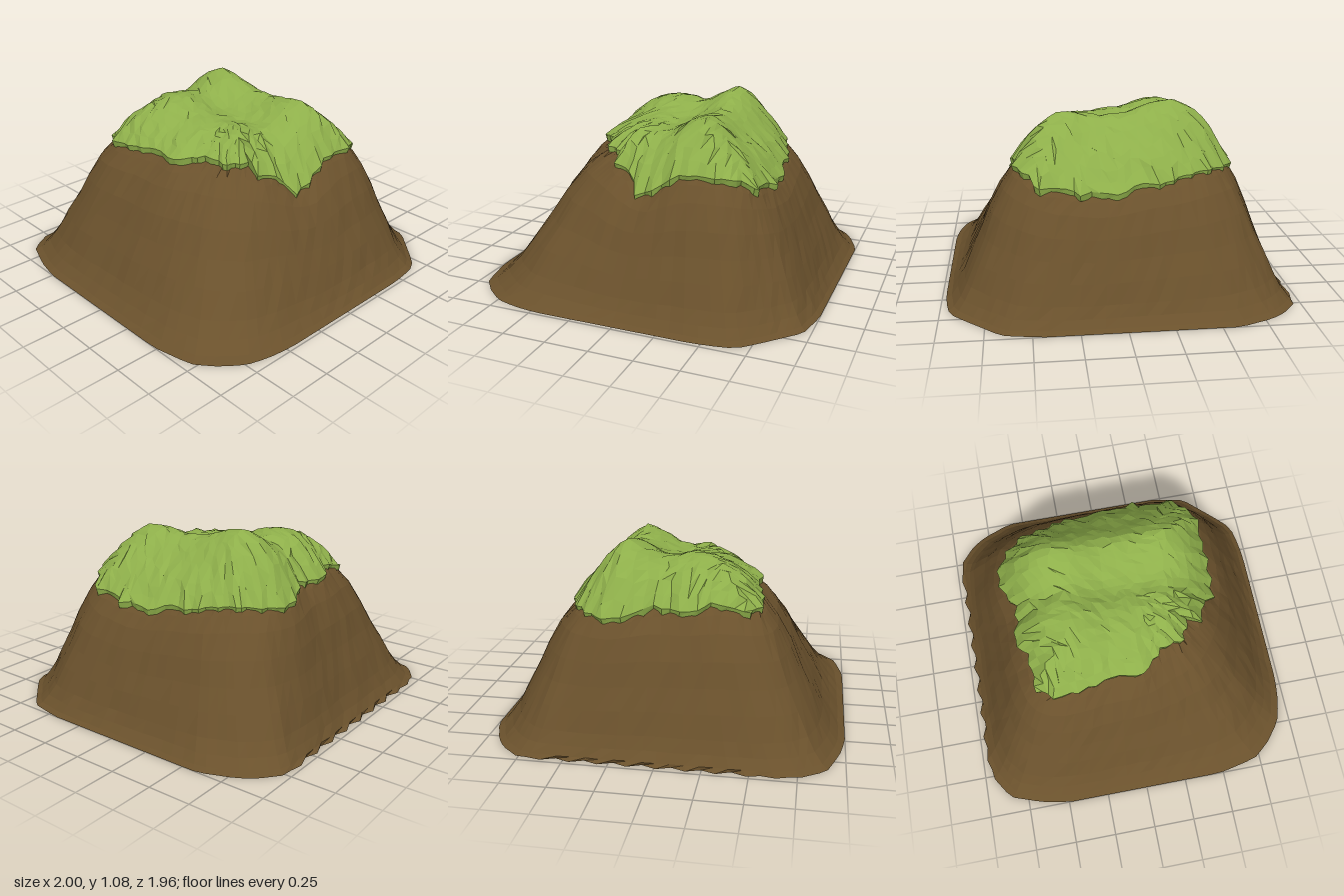
import * as THREE from 'three';

const CX = 0.07, CZ = -0.03; // hub from which both outlines are swept

// Ground outline [x, z], and grass outline [x, z, height of its upper edge]
const BASE = [[1, -0.6], [1, 0.45], [0.96, 0.66], [0.78, 0.85], [0.71, 0.92], [0.63, 0.96], [0.45, 0.98], [-0.47, 0.98],
  [-0.62, 0.96], [-0.75, 0.92], [-0.87, 0.82], [-0.95, 0.72], [-1, 0.48], [-1, -0.5], [-0.97, -0.66], [-0.9, -0.86],
  [-0.76, -0.95], [-0.62, -0.98], [0.74, -0.98], [0.87, -0.87], [0.93, -0.78], [0.96, -0.7]];
const GRASS = [[0.66, 0, 0.64], [0.64, 0.15, 0.66], [0.67, 0.22, 0.65], [0.62, 0.3, 0.68], [0.63, 0.45, 0.68],
  [0.55, 0.5, 0.74], [0.45, 0.58, 0.76], [0.3, 0.57, 0.76], [0.2, 0.58, 0.75], [0.1, 0.59, 0.67], [-0.03, 0.59, 0.61],
  [-0.1, 0.5, 0.72], [-0.24, 0.45, 0.75], [-0.2, 0.38, 0.79], [-0.33, 0.32, 0.8], [-0.35, 0.2, 0.82], [-0.49, 0.05, 0.79],
  [-0.46, -0.1, 0.8], [-0.5, -0.25, 0.78], [-0.52, -0.45, 0.76], [-0.45, -0.56, 0.75], [-0.25, -0.57, 0.8],
  [-0.15, -0.64, 0.76], [0, -0.6, 0.76], [0.08, -0.6, 0.78], [0.2, -0.67, 0.73], [0.33, -0.68, 0.71], [0.45, -0.6, 0.72],
  [0.53, -0.5, 0.73], [0.57, -0.35, 0.71], [0.62, -0.23, 0.68], [0.61, -0.1, 0.69]];

// Crest heights across x and along z, and the flank from ground (0) to grass (1)
const ACROSS = [[-0.56, 0.7], [-0.5, 0.79], [-0.4, 0.89], [-0.3, 0.96], [-0.15, 1.01], [-0.05, 1], [0.01, 0.965],
  [0.1, 1], [0.2, 1.06], [0.26, 1.085], [0.33, 1.05], [0.45, 0.93], [0.55, 0.84], [0.6, 0.76], [0.68, 0.65]];
const ALONG = [[-0.7, 0.69], [-0.66, 0.76], [-0.55, 0.94], [-0.45, 1.035], [-0.33, 1.08], [-0.2, 1.055], [-0.1, 1.01],
  [0.05, 0.99], [0.3, 1.01], [0.4, 0.96], [0.5, 0.86], [0.58, 0.72], [0.62, 0.66]];
const FLANK = [[0, 0], [0.07, 0.025], [0.16, 0.09], [0.25, 0.18], [0.37, 0.34], [0.5, 0.5], [0.62, 0.67], [0.77, 0.84],
  [0.9, 0.94], [1, 1]];

function lerpTable(table, v) {
  if (v <= table[0][0]) return table[0][1];
  for (let i = 1; i < table.length; i++) {
    const [a, fa] = table[i - 1], [b, fb] = table[i];
    if (v <= b) return fa + (fb - fa) * (v - a) / (b - a);
  }
  return table[table.length - 1][1];
}

// Table value averaged over a short span, which rounds the peaks
const rounded = (table, v) => [-0.05, -0.025, 0, 0.025, 0.05].reduce((sum, d) => sum + lerpTable(table, v + d), 0) / 5;
const crest = (x, z) => rounded(ACROSS, x) * rounded(ALONG, z) / 1.07;

function seeded(seed) {
  return () => {
    seed = (seed * 16807) % 2147483647;
    return seed / 2147483647 * 2 - 1;
  };
}

// Distance from the hub to an outline in a given direction, and the outline's height there
function reach(outline, angle) {
  const dx = Math.cos(angle), dz = Math.sin(angle);
  const best = { r: 0, y: 0 };
  outline.forEach(([x1, z1, y1 = 0], i) => {
    const [x2, z2, y2 = 0] = outline[(i + 1) % outline.length];
    const ex = x2 - x1, ez = z2 - z1, det = ex * dz - ez * dx;
    if (Math.abs(det) < 1e-9) return;
    const px = x1 - CX, pz = z1 - CZ;
    const r = (ex * pz - ez * px) / det, u = (dx * pz - dz * px) / det;
    if (r > best.r && u >= -1e-6 && u <= 1 + 1e-6) {
      best.r = r;
      best.y = y1 + (y2 - y1) * u;
    }
  });
  return best;
}

const at = (angle, r, y) => [CX + Math.cos(angle) * r, y, CZ + Math.sin(angle) * r];

// Point on the hilltop: s runs from the hub (0) to the ragged grass edge (1)
function hilltop(angle, s, drop = 0) {
  const { r, y } = reach(GRASS, angle);
  const edgeR = r + 0.012 * Math.sin(angle * 37);
  const edge = at(angle, edgeR, 0), p = at(angle, edgeR * s, 0);
  p[1] = crest(p[0], p[2]) + (y - crest(edge[0], edge[2])) * s ** 3 - drop;
  return p;
}

// Radius and height where the earth meets the grass, averaged over a span of angles
function shoulder(angle, span) {
  let r = 0, y = 0;
  for (let k = -3; k <= 3; k++) {
    const p = hilltop(angle + k / 3 * span, 0.95, 0.045);
    r += Math.hypot(p[0] - CX, p[2] - CZ) / 7;
    y += p[1] / 7;
  }
  return { r, y };
}

// Faceted skin through rows of points; closed rows join end to start
function loft(rows, closed) {
  const pos = [], n = rows[0].length;
  for (let j = 0; j < rows.length - 1; j++) {
    for (let i = 0; i < (closed ? n : n - 1); i++) {
      const k = (i + 1) % n;
      const a = rows[j][i], b = rows[j][k], c = rows[j + 1][k], d = rows[j + 1][i];
      pos.push(...a, ...d, ...b, ...b, ...d, ...c);
    }
  }
  const geo = new THREE.BufferGeometry();
  geo.setAttribute('position', new THREE.Float32BufferAttribute(pos, 3));
  geo.computeVertexNormals();
  return geo;
}

export function createModel() {
  const earth = new THREE.MeshStandardMaterial({ color: 0x6a512c, side: THREE.DoubleSide });
  earth.name = 'earth brown';
  const green = new THREE.MeshStandardMaterial({ color: 0x8eaf4a, side: THREE.DoubleSide });
  green.name = 'grass green';

  const model = new THREE.Group();
  model.name = 'grassyMound';
  const add = (name, geometry, material) => {
    const mesh = new THREE.Mesh(geometry, material);
    mesh.name = name;
    model.add(mesh);
  };

  // Grass top: a square grid wrapped onto the outline, roughened inside the edge
  const M = 24, angles = [], rough = seeded(7);
  const grid = Array.from({ length: M + 1 }, (_, j) => Array.from({ length: M + 1 }, (_, i) => {
    let u = 2 * i / M - 1, v = 2 * j / M - 1;
    if (Math.max(Math.abs(u), Math.abs(v)) === 1) {
      angles.push(Math.atan2(v, u));
      return hilltop(Math.atan2(v, u), 1);
    }
    u += rough() * 0.025;
    v += rough() * 0.025;
    return hilltop(Math.atan2(v, u), Math.max(Math.abs(u), Math.abs(v)), rough() * 0.006);
  }));
  add('grassTop', loft(grid, false), green);

  // Thick rim of the grass with an uneven lip turned under it
  angles.sort((a, b) => a - b);
  const rim = [[0.93, 1], [0.985, 1], [1, 0]].map(([s, depth]) =>
    angles.map((a) => hilltop(a, s, depth * (0.048 + 0.01 * Math.sin(a * 29)))));
  add('grassRim', loft(rim, true), green);

  // Earth flanks: hollow, open below and under the grass, ragged along the back foot
  const rnd = seeded(41);
  const flanks = FLANK.map(([s, h], j) => angles.map((a, i) => {
    const top = shoulder(a, 0.2 * (1 - s ** 6)), rBase = reach(BASE, a).r;
    const inner = j > 0 && j < FLANK.length - 1;
    const p = at(a, rBase + (top.r - rBase) * s + (inner ? rnd() * 0.004 : 0), top.y * h);
    if (j === 0 && p[2] < -0.95 && i % 2) p[2] += 0.02 + rnd() * 0.012;
    return p;
  }));
  add('earthFlanks', loft(flanks, true), earth);

  return model;
}
